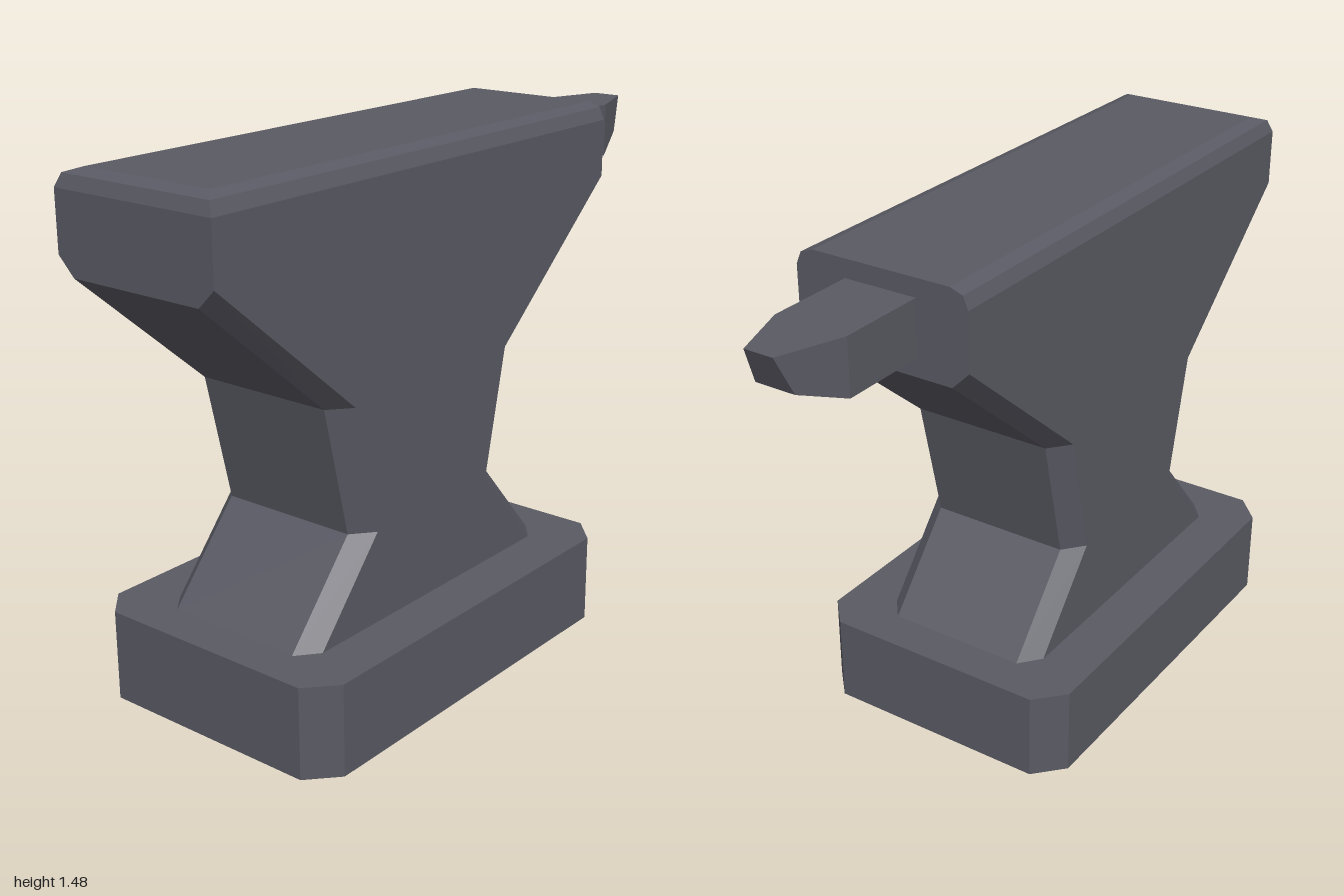
import * as THREE from 'three';

const material = new THREE.MeshStandardMaterial({ color: 0x5a5a64, flatShading: true });

// Join rings of equal length into a closed solid; rings run counter-clockwise seen from the last one
function loft(name, rings) {
  const pos = [];
  const tri = (a, b, c) => {
    const u = b.clone().sub(a), v = c.clone().sub(a);
    if (u.cross(v).length() > 1e-7) for (const p of [a, b, c]) pos.push(p.x, p.y, p.z);
  };
  const R = rings.map(r => r.map(p => new THREE.Vector3(...p)));
  const n = R[0].length, last = R[R.length - 1];
  for (let k = 0; k < R.length - 1; k++) {
    for (let i = 0; i < n; i++) {
      const j = (i + 1) % n;
      tri(R[k][i], R[k][j], R[k + 1][j]);
      tri(R[k][i], R[k + 1][j], R[k + 1][i]);
    }
  }
  for (let i = 1; i < n - 1; i++) {
    tri(R[0][0], R[0][i + 1], R[0][i]);
    tri(last[0], last[i], last[i + 1]);
  }
  const geo = new THREE.BufferGeometry();
  geo.setAttribute('position', new THREE.Float32BufferAttribute(pos, 3));
  geo.computeVertexNormals();
  const mesh = new THREE.Mesh(geo, material);
  mesh.name = name;
  return mesh;
}

// Rectangle with cut corners; lift raises the side points above the end points
function ring(y, hx, front, back, cx = 0.05, cz = 0.06, lift = 0) {
  const ix = hx - cx, f = front - cz, b = back + cz, s = y + lift;
  return [
    [-ix, y, front], [ix, y, front], [hx, s, f], [hx, s, b],
    [ix, y, back], [-ix, y, back], [-hx, s, b], [-hx, s, f],
  ];
}

// Rectangle across the horn; its bottom edge may sit at another z and width
const hornRing = (top, zTop, wTop, bottom, zBottom, wBottom) => [
  [wBottom, bottom, zBottom], [-wBottom, bottom, zBottom],
  [-wTop, top, zTop], [wTop, top, zTop],
];

export function createModel() {
  const model = new THREE.Group();
  model.name = 'anvil';

  // Foot block with cut vertical corners
  model.add(loft('base', [
    ring(0, 0.4, 0.84, -0.415, 0.075, 0.08),
    ring(0.255, 0.4, 0.84, -0.415, 0.075, 0.08),
  ]));

  // Waist flaring into the head, bevelled along the top sides and front
  model.add(loft('body', [
    ring(0.255, 0.255, 0.73, -0.30),
    ring(0.51, 0.255, 0.51, -0.08),
    ring(0.87, 0.255, 0.592, -0.163),
    ring(1.22, 0.255, 1.0, -0.572, 0.05, 0, 0.05),
    ring(1.43, 0.255, 1.0, -0.572, 0, 0),
    ring(1.465, 0.24, 0.988, -0.572, 0, 0),
    ring(1.478, 0.203, 0.95, -0.572, 0, 0),
  ]));

  // Horn: straight bar with a tapered, slanted tip
  model.add(loft('horn', [
    hornRing(1.427, -0.55, 0.105, 1.272, -0.55, 0.105),
    hornRing(1.427, -0.825, 0.105, 1.272, -0.825, 0.105),
    hornRing(1.427, -1.0, 0.042, 1.323, -0.955, 0.058),
  ]));

  return model;
}
